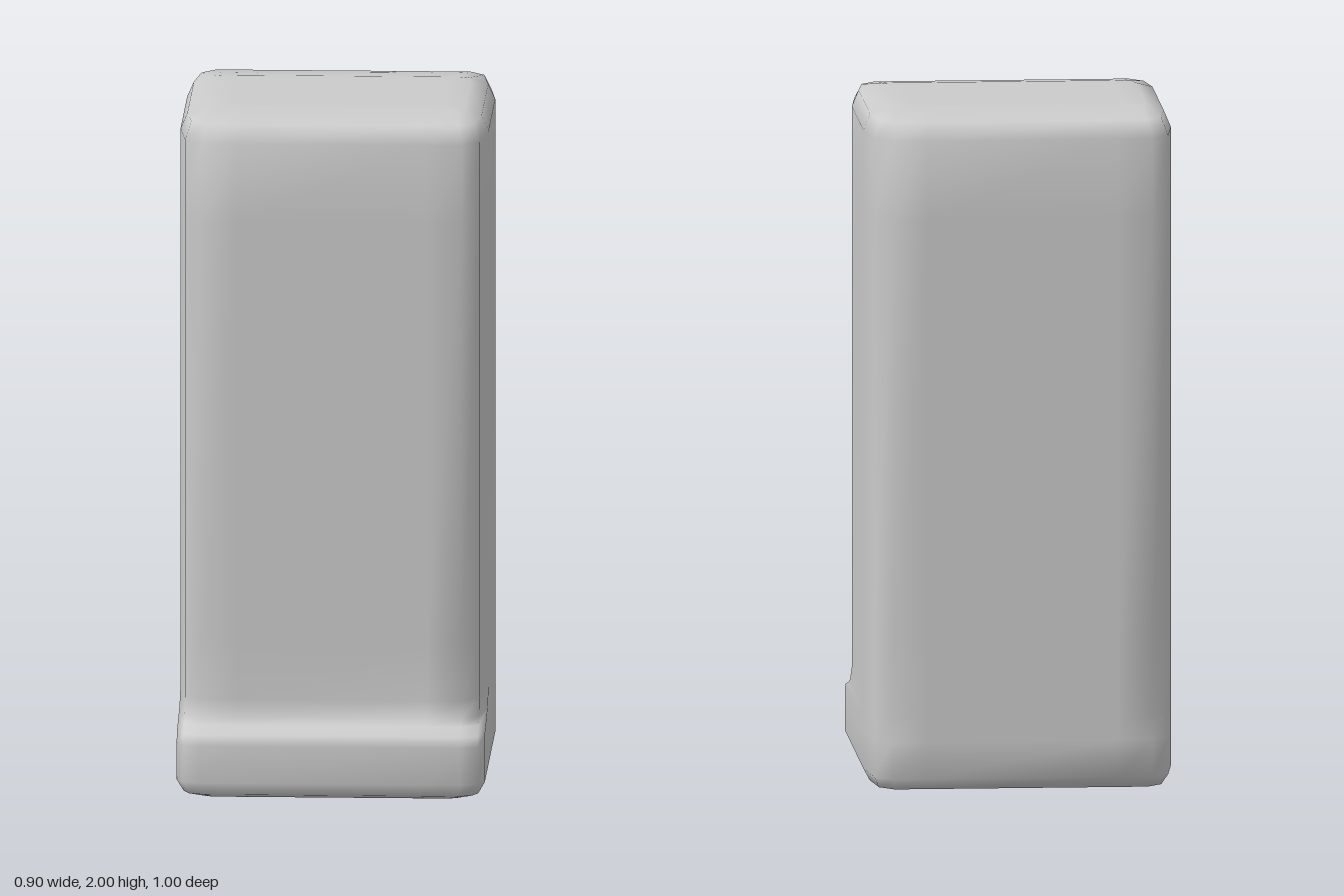
import * as THREE from 'three';

// Horizontal sections: [y, half width, front z, back z, front corner depths, back corner depths, corner cut]
const TOE = [0.015, 0.05], SOFT = [0.055, 0.22], TIGHT = [0.012, 0.05];
const SECTIONS = [
  [0, 0.31, 0.38, -0.22, TIGHT, TIGHT, 0.4],
  [0, 0.38, 0.45, -0.28, TIGHT, TIGHT, 0.5],
  [0.013, 0.43, 0.483, -0.445, TOE, [0.045, 0.18], 0.85],
  [0.05, 0.45, 0.5, -0.5, TOE, SOFT, 1],
  [0.16, 0.45, 0.5, -0.5, TOE, SOFT, 1],
  [0.19, 0.45, 0.49, -0.5, TOE, SOFT, 1],
  [0.21, 0.45, 0.435, -0.5, [0.03, 0.1], SOFT, 1],
  [0.23, 0.45, 0.412, -0.5, [0.045, 0.16], SOFT, 1],
  [0.28, 0.45, 0.4, -0.5, SOFT, SOFT, 1],
  [0.45, 0.45, 0.4, -0.5, SOFT, SOFT, 1],
  [1.7, 0.45, 0.4, -0.5, SOFT, SOFT, 1],
  [1.935, 0.45, 0.4, -0.5, SOFT, SOFT, 1],
  [1.982, 0.43, 0.345, -0.445, [0.045, 0.16], [0.045, 0.18], 0.85],
  [2, 0.38, 0.2, -0.28, TIGHT, TIGHT, 0.5],
  [2, 0.31, 0.14, -0.22, TIGHT, TIGHT, 0.4],
];

// Closed outline with bevelled corners, running front, left side, back, right side
function outline([y, w, f, b, fc, bc, cut]) {
  const half = [
    [w * 0.62, f], [w - 0.07 * cut, f], [w - 0.02 * cut, f - fc[0]], [w, f - fc[1]],
    [w, b + bc[1]], [w - 0.02 * cut, b + bc[0]], [w - 0.07 * cut, b], [w * 0.62, b],
  ];
  const mirrored = half.map(([x, z]) => [-x, z]).reverse();
  return [...half, ...mirrored].map(([x, z]) => [x, y, z]);
}

// Skin the sections and close both ends with fans
function loft(sections) {
  const rings = sections.map(outline);
  const n = rings[0].length;
  const positions = rings.flat(2);
  const index = [];
  for (let r = 0; r < rings.length - 1; r++) {
    for (let i = 0; i < n; i++) {
      const a = r * n + i, b = r * n + (i + 1) % n;
      index.push(a, b, b + n, a, b + n, a + n);
    }
  }
  const bottom = rings.length * n, top = bottom + 1, last = (rings.length - 1) * n;
  positions.push(0, 0, 0.08, 0, 2, -0.04);
  for (let i = 0; i < n; i++) {
    const j = (i + 1) % n;
    index.push(bottom, j, i, top, last + i, last + j);
  }
  const geometry = new THREE.BufferGeometry();
  geometry.setAttribute('position', new THREE.Float32BufferAttribute(positions, 3));
  geometry.setIndex(index);
  geometry.computeVertexNormals();
  return geometry;
}

export function createModel() {
  const model = new THREE.Group();
  model.name = 'roundedBlock';
  // Tall rounded body with its projecting front toe, one continuous skin
  const body = new THREE.Mesh(loft(SECTIONS), new THREE.MeshStandardMaterial({ color: 0xcccccc }));
  body.name = 'bodyWithToe';
  model.add(body);
  return model;
}
